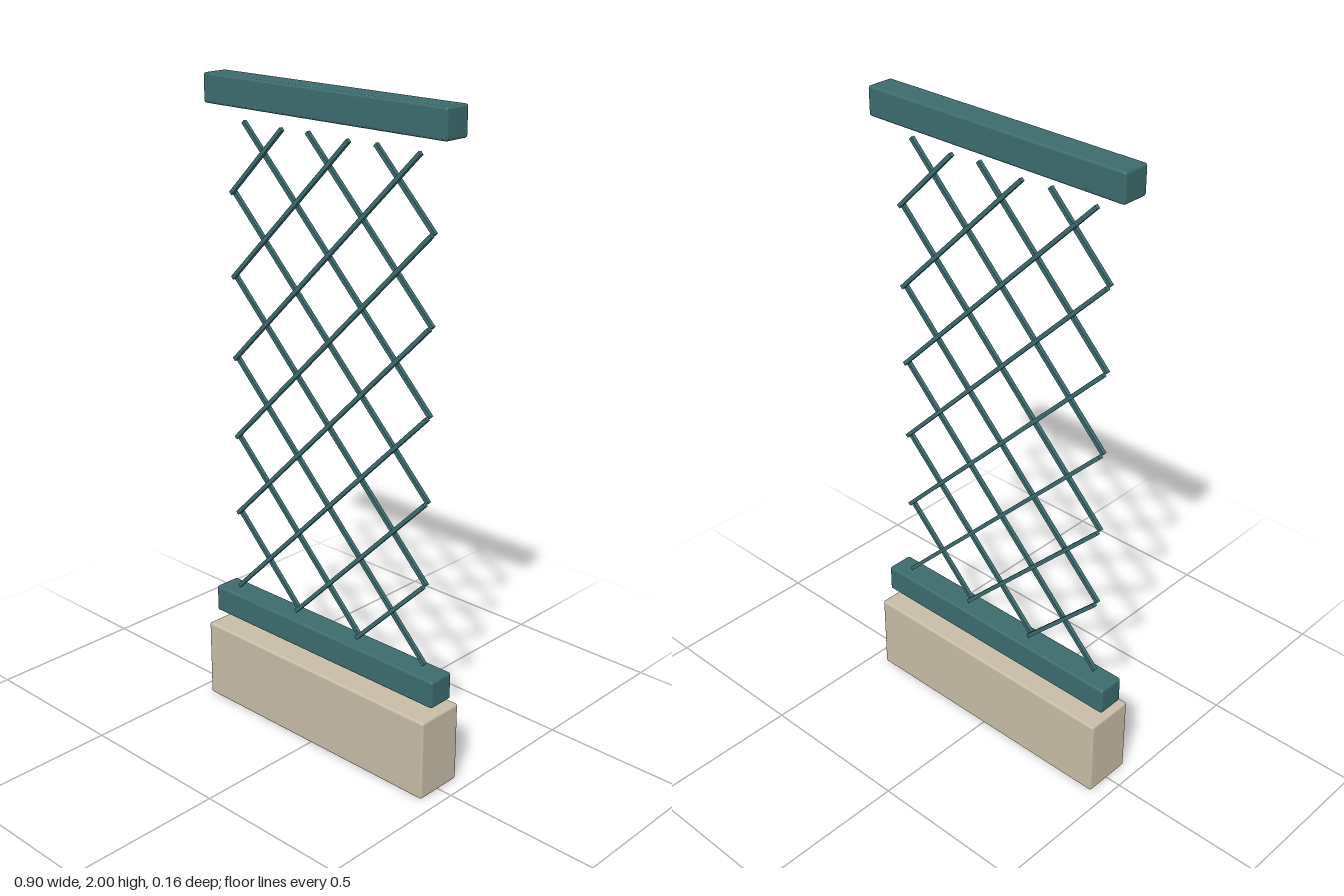
import * as THREE from 'three';
import { RoundedBoxGeometry } from 'three/addons/geometries/RoundedBoxGeometry.js';

export function createModel() {
  const model = new THREE.Group();
  model.name = 'trellisPlanter';

  const stone = new THREE.MeshStandardMaterial({ color: 0xc8bca7 });
  stone.name = 'warm stone';
  const teal = new THREE.MeshStandardMaterial({ color: 0x3c6b6d });
  teal.name = 'deep teal';

  // Softly rounded block spanning y0..y1, centred on x and z
  function block(name, width, y0, y1, depth, material) {
    const geometry = new RoundedBoxGeometry(width, y1 - y0, depth, 2, 0.008);
    const mesh = new THREE.Mesh(geometry, material);
    mesh.name = name;
    mesh.position.y = (y0 + y1) / 2;
    model.add(mesh);
  }

  block('planterBase', 0.904, 0, 0.255, 0.16, stone);
  block('bottomRail', 0.904, 0.287, 0.374, 0.087, teal);
  block('topRail', 0.904, 1.913, 2, 0.087, teal);

  // Diagonal lattice: 45 degree slats clipped to a rectangle, in two layers
  const halfWidth = 0.381, bottom = 0.386, top = 1.867;
  const spacing = halfWidth * 2 / 3;
  const lattice = new THREE.Group();
  lattice.name = 'lattice';
  model.add(lattice);

  for (const side of [1, -1]) {
    for (let i = -2; i <= 5; i++) {
      // Height at which the slat's line meets its starting edge
      const startY = bottom + i * spacing;
      const y0 = Math.max(bottom, startY);
      const y1 = Math.min(top, startY + 2 * halfWidth);
      const length = (y1 - y0) * Math.SQRT2;
      const slat = new THREE.Mesh(new THREE.BoxGeometry(length, 0.012, 0.012), teal);
      slat.name = side > 0 ? 'risingSlat' : 'fallingSlat';
      const midY = (y0 + y1) / 2;
      slat.position.set(side * (midY - startY - halfWidth), midY, side * 0.007);
      slat.rotation.z = side * Math.PI / 4;
      lattice.add(slat);
    }
  }

  return model;
}
